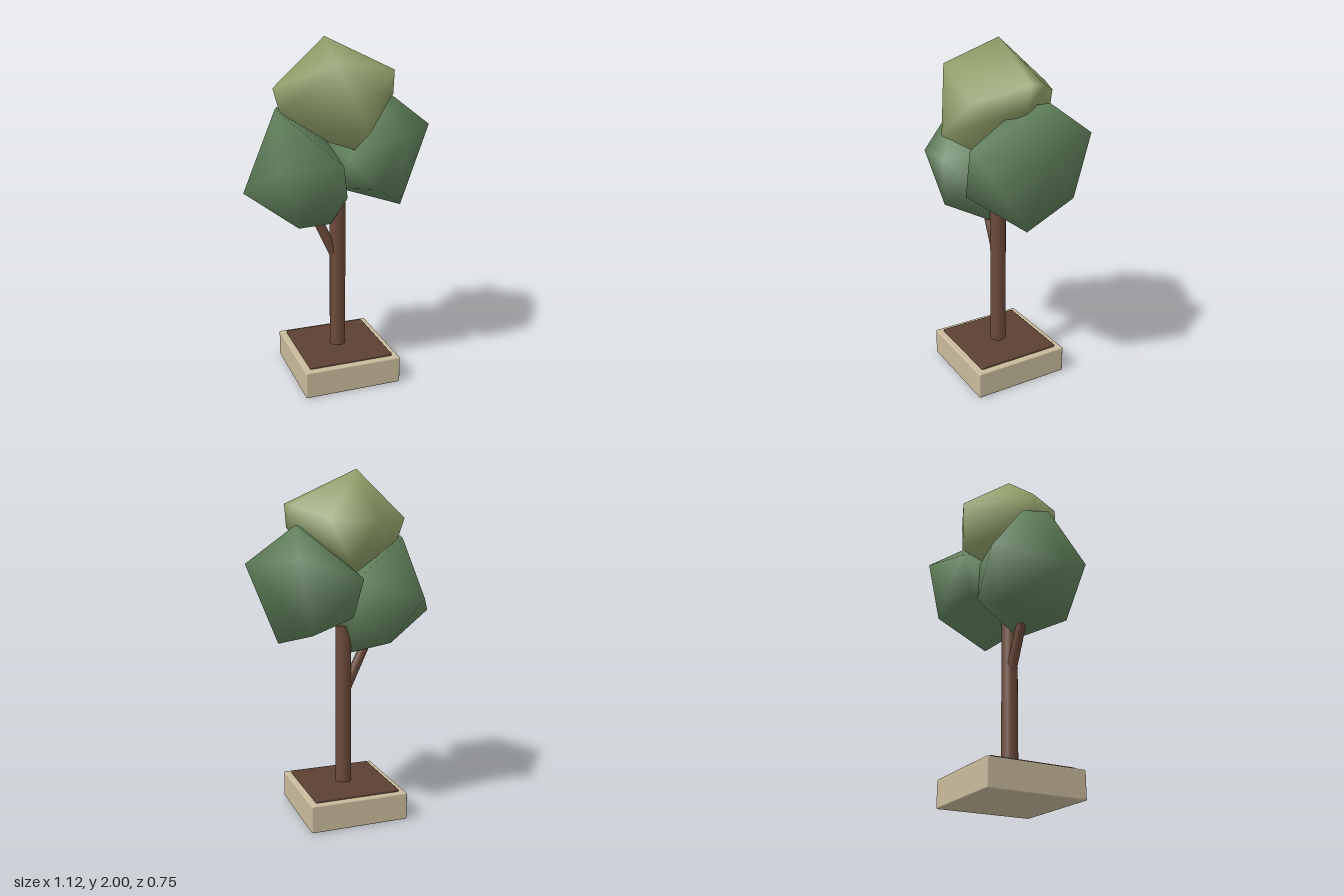
import * as THREE from 'three';
import { ConvexGeometry } from 'three/addons/geometries/ConvexGeometry.js';
import { RoundedBoxGeometry } from 'three/addons/geometries/RoundedBoxGeometry.js';
import { mergeVertices } from 'three/addons/utils/BufferGeometryUtils.js';

const material = (color) => new THREE.MeshStandardMaterial({ color });

function part(name, geometry, mat) {
  const mesh = new THREE.Mesh(geometry, mat);
  mesh.name = name;
  return mesh;
}

// Faceted leaf clump: hull of a few corners, shaded smoothly
function clump(name, corners, mat) {
  let g = new ConvexGeometry(corners.map((c) => new THREE.Vector3(...c)));
  g.deleteAttribute('normal');
  g = mergeVertices(g, 1e-4);
  g.computeVertexNormals();
  return part(name, g, mat);
}

// Tapered round limb between two points
function limb(name, from, to, r0, r1, mat) {
  const a = new THREE.Vector3(...from), b = new THREE.Vector3(...to);
  const dir = b.clone().sub(a);
  const mesh = part(name, new THREE.CylinderGeometry(r1, r0, dir.length(), 16), mat);
  mesh.position.copy(a).add(b).multiplyScalar(0.5);
  mesh.quaternion.setFromUnitVectors(new THREE.Vector3(0, 1, 0), dir.normalize());
  return mesh;
}

export function createModel() {
  const tree = new THREE.Group();
  tree.name = 'pottedTree';
  const stone = material(0xc8ba9c), soil = material(0x5c4033), bark = material(0x6b4a3a);
  const darkLeaf = material(0x5f7f5a), lightLeaf = material(0x8f9f68);

  // Square planter with a soil slab on top
  const planter = part('planter', new RoundedBoxGeometry(0.58, 0.16, 0.58, 2, 0.008), stone);
  planter.position.set(-0.008, 0.085, 0);
  const earth = part('soil', new RoundedBoxGeometry(0.505, 0.04, 0.505, 2, 0.008), soil);
  earth.position.set(-0.008, 0.16, 0);
  tree.add(planter, earth);

  // Trunk and side branch
  tree.add(limb('trunk', [-0.008, 0.16, 0], [-0.008, 1.12, 0], 0.047, 0.046, bark));
  tree.add(limb('branch', [-0.02, 0.74, 0], [-0.2, 1.12, 0], 0.03, 0.027, bark));

  // Leaf clumps
  tree.add(clump('rightFoliage', [
    [-0.565, 1.18, 0.04], [-0.38, 1.63, 0.05], [-0.33, 1.62, -0.1], [-0.42, 1.32, 0.265],
    [-0.37, 1.3, -0.315], [-0.08, 1.35, 0.31], [-0.3, 1.0, 0.2], [-0.06, 0.95, 0.03],
    [-0.01, 1.4, -0.2], [0.01, 1.12, 0.12], [-0.22, 1.04, -0.2], [-0.02, 1.15, -0.22],
  ], darkLeaf));
  tree.add(clump('leftFoliage', [
    [0.56, 1.49, 0], [0.37, 1.03, 0.04], [0.31, 1.7, -0.13], [0.22, 1.68, 0],
    [0.35, 1.52, -0.375], [0.27, 1.5, 0.325], [0.13, 1.2, 0.28], [0.28, 1.13, -0.325],
    [0, 1.15, 0], [-0.01, 1.42, -0.32], [0, 1.35, 0.15], [0.02, 1.2, -0.24],
  ], darkLeaf));
  tree.add(clump('topFoliage', [
    [-0.07, 2.0, -0.04], [0.335, 1.81, 0], [0.32, 1.8, -0.09], [0.32, 1.68, 0.02],
    [-0.365, 1.73, -0.045], [-0.34, 1.6, 0], [0.04, 1.53, 0.37], [-0.1, 1.88, 0.28],
    [-0.08, 1.73, -0.355], [0.15, 1.73, -0.25], [0.05, 1.5, -0.29], [-0.12, 1.46, 0.2],
    [0.04, 1.4, 0.15], [0, 1.4, -0.1], [0.14, 1.7, 0.25],
  ], lightLeaf));

  return tree;
}
